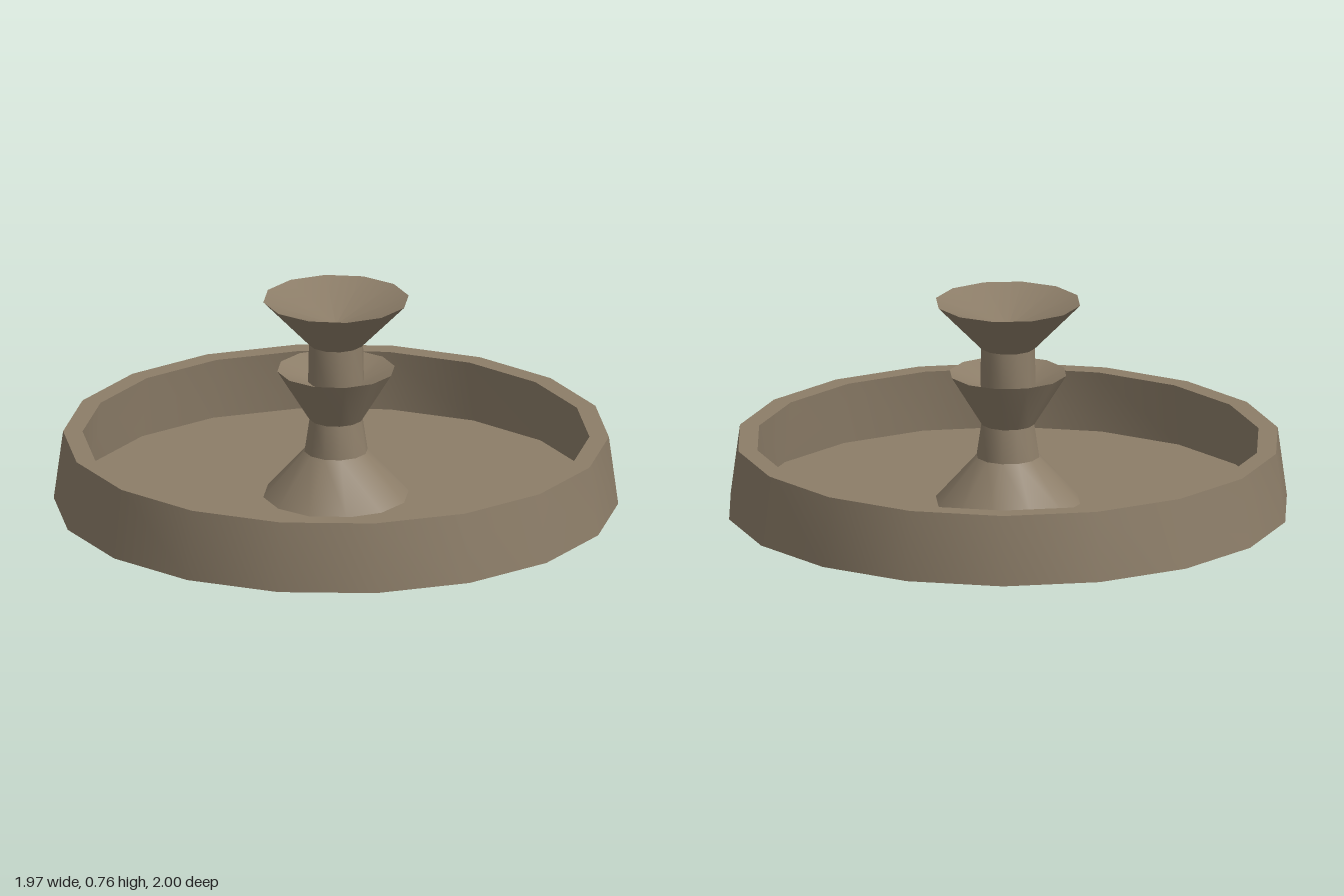
import * as THREE from 'three';
import { toCreasedNormals } from 'three/addons/utils/BufferGeometryUtils.js';

// Turned part from [radius, height] points, smooth around and sharp at profile corners
function turned(name, profile, sides, material) {
  const points = profile.map(([r, y]) => new THREE.Vector2(r, y));
  const geometry = toCreasedNormals(new THREE.LatheGeometry(points, sides), THREE.MathUtils.degToRad(34));
  const mesh = new THREE.Mesh(geometry, material);
  mesh.name = name;
  return mesh;
}

export function createModel() {
  const model = new THREE.Group();
  model.name = 'fountain';

  const stone = new THREE.MeshStandardMaterial({ color: 0x8c7d68, side: THREE.DoubleSide });
  stone.name = 'stone';

  // Basin: sloped outer wall, flat rim, undercut inner wall and raised floor, open underneath
  model.add(turned('basin', [[1, 0], [0.967, 0.25], [0.898, 0.25], [0.922, 0.026], [0, 0.026]], 18, stone));

  // Flared foot and lower neck
  model.add(turned('foot', [[0.26, 0.026], [0.113, 0.19]], 12, stone));
  model.add(turned('lowerNeck', [[0.113, 0.19], [0.095, 0.31]], 12, stone));

  // Middle bowl with a shallow hollow around the upper neck
  model.add(turned('middleBowl', [[0.095, 0.31], [0.21, 0.495], [0.1, 0.45]], 12, stone));
  model.add(turned('upperNeck', [[0.1, 0.45], [0.097, 0.59]], 12, stone));

  // Top bowl, hollowed to a point
  model.add(turned('topBowl', [[0.097, 0.59], [0.26, 0.757], [0, 0.66]], 12, stone));

  return model;
}
